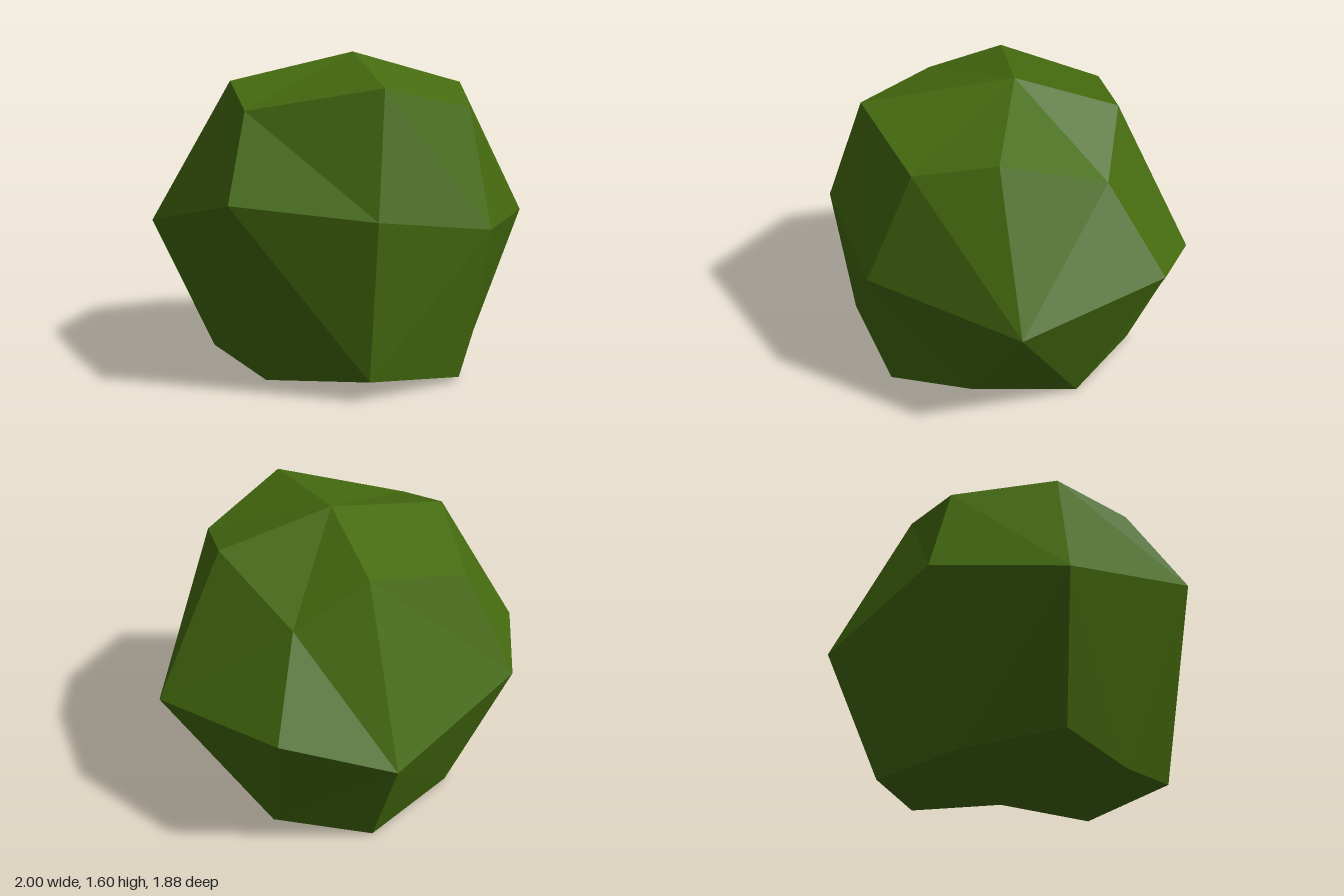
import * as THREE from 'three';

// Rings of eight points, counterclockwise from above:
// front-left-on-screen corner, front, corner, +x side, corner, back, corner, -x side
const lower = [
  [-0.49, 0, 0.41], [-0.07, 0.10, 0.86], [0.44, 0.02, 0.63], [0.66, 0.13, 0.20],
  [0.53, 0, -0.35], [0.10, 0, -0.66], [-0.45, 0, -0.43], [-0.70, 0.08, 0.01],
];
const middle = [
  [-0.70, 0.93, 0.69], [-0.05, 0.87, 0.94], [0.57, 0.77, 0.70], [1.0, 0.73, -0.05],
  [0.64, 0.82, -0.75], [0.11, 0.63, -0.94], [-0.67, 0.80, -0.66], [-1.0, 0.74, -0.09],
];
const upper = [
  [-0.58, 1.34, 0.42], [0.03, 1.46, 0.73], [0.53, 1.34, 0.46], [0.61, 1.44, 0.05],
  [0.44, 1.24, -0.47], [0.08, 1.46, -0.54], [-0.46, 1.34, -0.49], [-0.60, 1.46, 0.03],
];
const crown = [0.05, 1.60, -0.03];
const base = [0, 0, 0];

function foliageGeometry() {
  const positions = [];
  const dist = (a, b) => Math.hypot(a[0] - b[0], a[1] - b[1], a[2] - b[2]);
  // Split each four-sided facet along its shorter diagonal
  const quad = (a, b, c, d) => {
    const tris = dist(a, c) <= dist(b, d) ? [a, b, c, a, c, d] : [a, b, d, b, c, d];
    tris.forEach((p) => positions.push(...p));
  };

  for (let i = 0; i < 8; i++) {
    const next = (i + 1) % 8;
    const prev = (i + 7) % 8;
    // Side facets
    quad(lower[i], lower[next], middle[next], middle[i]);
    quad(middle[i], middle[next], upper[next], upper[i]);
    // Top and bottom facets, one per corner
    if (i % 2 === 0) {
      quad(crown, upper[prev], upper[i], upper[next]);
      quad(base, lower[next], lower[i], lower[prev]);
    }
  }

  const geometry = new THREE.BufferGeometry();
  geometry.setAttribute('position', new THREE.Float32BufferAttribute(positions, 3));
  geometry.computeVertexNormals();
  return geometry;
}

export function createModel() {
  const group = new THREE.Group();
  group.name = 'bush';

  const leafGreen = new THREE.MeshStandardMaterial({ color: 0x456b0f, flatShading: true });
  leafGreen.name = 'leafGreen';

  const foliage = new THREE.Mesh(foliageGeometry(), leafGreen);
  foliage.name = 'foliage';
  group.add(foliage);
  return group;
}
